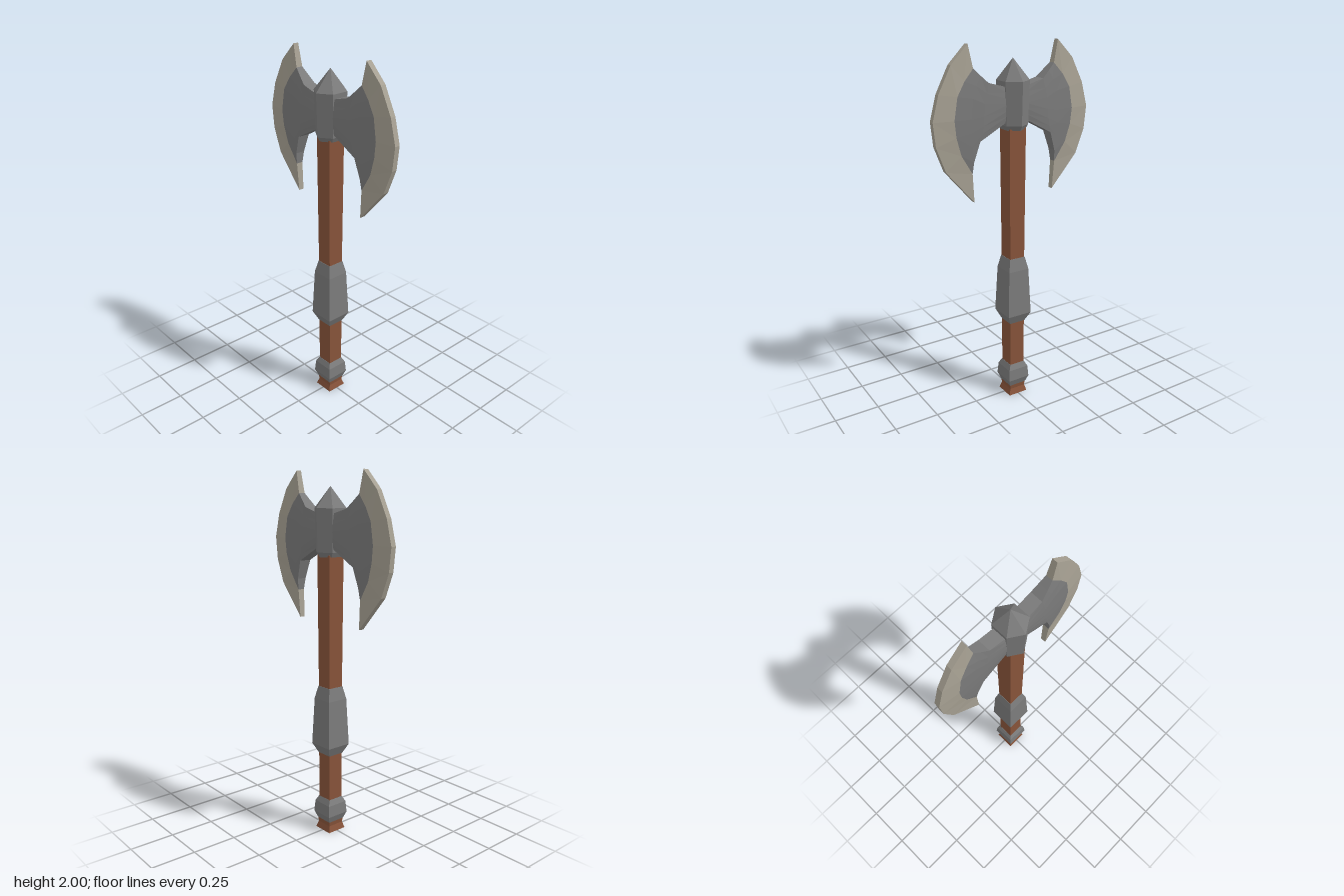
import * as THREE from 'three';

const material = (name, color) => {
  const m = new THREE.MeshStandardMaterial({ color });
  m.name = name;
  return m;
};

// Faceted turned part: profile of [half width, y], bottom to top
function turned(name, profile, sides, mat, xScale = 1) {
  const square = sides === 4;
  const k = square ? Math.SQRT2 : 1;
  const pts = profile.map(([r, y]) => new THREE.Vector2(r * k, y));
  const geo = new THREE.LatheGeometry(pts, sides, square ? Math.PI / 4 : 0).toNonIndexed();
  geo.scale(xScale, 1, 1);
  geo.computeVertexNormals();
  const mesh = new THREE.Mesh(geo, mat);
  mesh.name = name;
  return mesh;
}

// Double-faced plate from columns of [x, y] points (outermost first, rows top to bottom).
// Each column is thin at both ends and thickest in its middle.
function plate(name, columns, mat, outerRim) {
  const pos = [];
  const at = (c, i, side) => {
    const { pts, zEnd, zMid } = columns[c];
    const bulge = Math.sin((Math.PI * i) / (pts.length - 1));
    return [...pts[i], side * (zEnd + (zMid - zEnd) * bulge)];
  };
  const quad = (a, b, c, d) => pos.push(...a, ...b, ...c, ...a, ...c, ...d);
  const n = columns[0].pts.length - 1;
  for (let c = 0; c < columns.length - 1; c++) {
    for (let i = 0; i < n; i++) {
      quad(at(c, i, 1), at(c + 1, i, 1), at(c + 1, i + 1, 1), at(c, i + 1, 1));
      quad(at(c, i, -1), at(c, i + 1, -1), at(c + 1, i + 1, -1), at(c + 1, i, -1));
    }
    // Top and bottom walls
    quad(at(c, 0, 1), at(c, 0, -1), at(c + 1, 0, -1), at(c + 1, 0, 1));
    quad(at(c, n, 1), at(c + 1, n, 1), at(c + 1, n, -1), at(c, n, -1));
  }
  if (outerRim) {
    for (let i = 0; i < n; i++) quad(at(0, i, 1), at(0, i + 1, 1), at(0, i + 1, -1), at(0, i, -1));
  }
  const geo = new THREE.BufferGeometry();
  geo.setAttribute('position', new THREE.Float32BufferAttribute(pos, 3));
  geo.computeVertexNormals();
  const mesh = new THREE.Mesh(geo, mat);
  mesh.name = name;
  return mesh;
}

export function createModel() {
  const wood = material('wood', 0x88543a);
  const iron = material('iron', 0x7b7b7b);
  const steel = material('sharpened steel', 0xa8a294);
  const group = new THREE.Group();
  group.name = 'doubleAxe';

  // Square shaft with flared foot
  group.add(turned('shaft', [
    [0, 0], [0.058, 0], [0.047, 0.035], [0.05, 0.06], [0.045, 0.1],
    [0.045, 0.85], [0.049, 1.57], [0, 1.57],
  ], 4, wood));

  // Iron fittings on the shaft
  group.add(turned('lowerCollar', [
    [0.045, 0.06], [0.051, 0.06], [0.066, 0.1], [0.061, 0.165], [0.046, 0.195], [0.044, 0.195],
  ], 4, iron));
  group.add(turned('gripSleeve', [
    [0.044, 0.46], [0.047, 0.46], [0.073, 0.515], [0.062, 0.78], [0.047, 0.85], [0.044, 0.85],
  ], 4, iron));

  // Six-sided head socket with pointed cap
  group.add(turned('headSocket', [
    [0, 1.56], [0.07, 1.56], [0.086, 1.585], [0.094, 1.81], [0, 1.92],
  ], 6, iron, 0.89));

  // Blade columns, from cutting edge to root
  const edge = { zEnd: 0.015, zMid: 0.015, pts: [
    [0.265, 2.0], [0.36, 1.905], [0.43, 1.77], [0.465, 1.64], [0.452, 1.515], [0.402, 1.385], [0.244, 1.204]] };
  const bevel = { zEnd: 0.019, zMid: 0.031, pts: [
    [0.24, 1.883], [0.292, 1.825], [0.335, 1.755], [0.355, 1.64], [0.346, 1.555], [0.318, 1.46], [0.254, 1.358]] };
  const middle = { zEnd: 0.027, zMid: 0.036, pts: [
    [0.203, 1.847], [0.23, 1.8], [0.25, 1.74], [0.262, 1.64], [0.262, 1.57], [0.258, 1.5], [0.248, 1.42]] };
  const neck = { zEnd: 0.035, zMid: 0.041, pts: [
    [0.163, 1.81], [0.175, 1.76], [0.185, 1.71], [0.192, 1.65], [0.198, 1.6], [0.205, 1.56], [0.215, 1.523]] };
  const root = { zEnd: 0.037, zMid: 0.046, pts:
    [0, 1, 2, 3, 4, 5, 6].map((i) => [0.055, 1.781 - i * 0.0287]) };

  for (const side of ['left', 'right']) {
    const blade = new THREE.Group();
    blade.name = side + 'Blade';
    blade.add(plate('cuttingEdge', [edge, bevel], steel, true));
    blade.add(plate('bladeBody', [bevel, middle, neck, root], iron, false));
    if (side === 'right') blade.rotation.y = Math.PI;
    group.add(blade);
  }
  return group;
}
